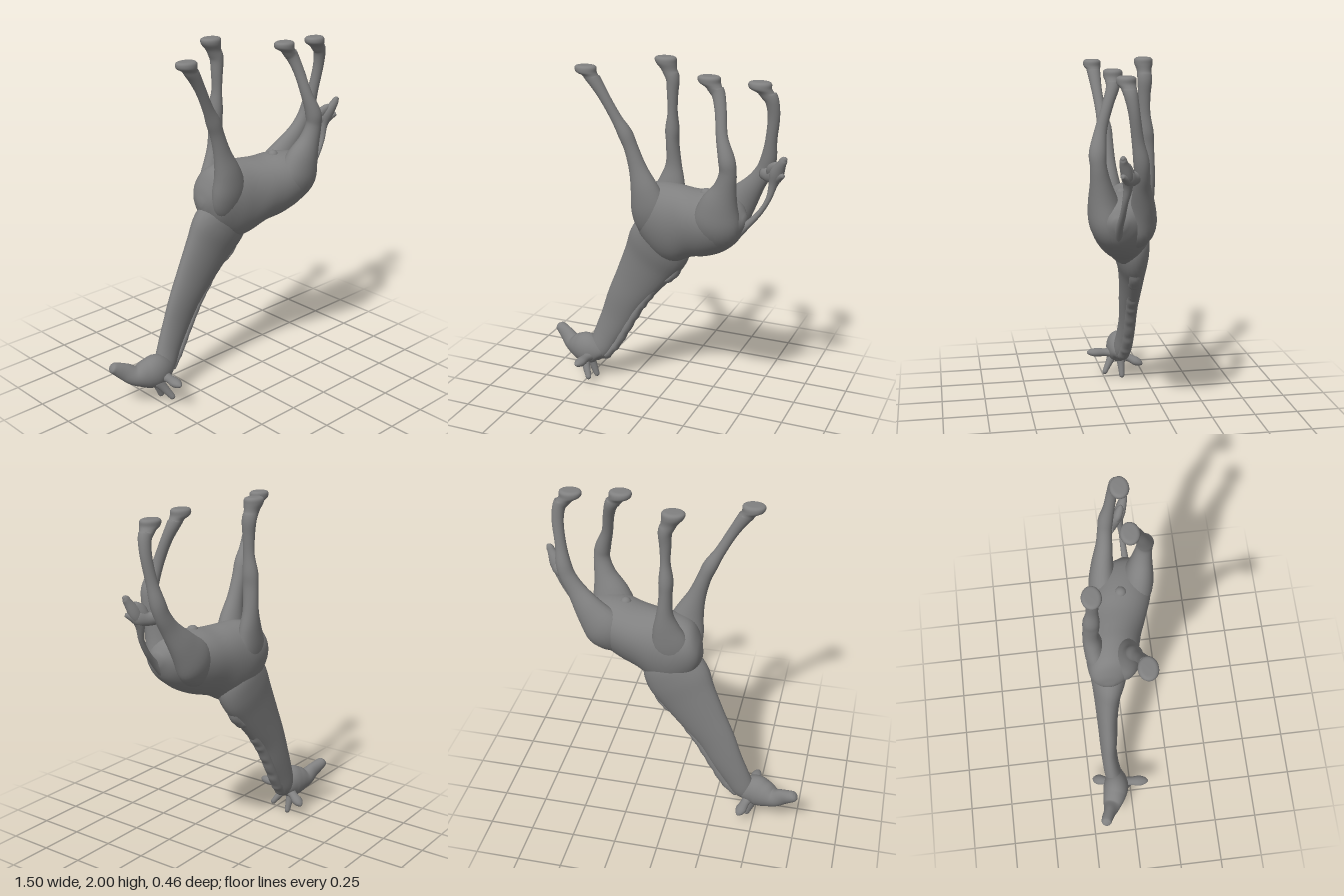
import * as THREE from 'three';

const material = new THREE.MeshStandardMaterial({ color: 0x808080 });
const Z = new THREE.Vector3(0, 0, 1);
const UP = new THREE.Vector3(0, 1, 0);

// Smooth closed loft through stations [x, y, z, in-plane radius, sideways radius].
// axis fixes the ring normal from station axisFrom on, ref sets the ring's sideways
// direction, egg narrows one side.
function loft(name, stations, { axis = null, axisFrom = 0, ref = Z, egg = 0, sides = 24, steps = 5 } = {}) {
  const path = new THREE.CatmullRomCurve3(stations.map(s => new THREE.Vector3(s[0], s[1], s[2])), false, 'catmullrom', 0.5);
  const radii = new THREE.CatmullRomCurve3(stations.map(s => new THREE.Vector3(s[3], s[4], 0)), false, 'catmullrom', 0.5);
  const rows = (stations.length - 1) * steps;
  const positions = [], index = [];
  for (let i = 0; i <= rows; i++) {
    const c = path.getPoint(i / rows), r = radii.getPoint(i / rows);
    const t = path.getTangent(i / rows);
    if (axis) t.lerp(axis, THREE.MathUtils.smoothstep(i / steps, axisFrom - 1, axisFrom)).normalize();
    const u = t.clone().cross(ref).normalize();
    const b = t.clone().cross(u).normalize();
    for (let j = 0; j < sides; j++) {
      const a = (j / sides) * Math.PI * 2;
      const p = c.clone()
        .addScaledVector(u, Math.cos(a) * Math.max(r.x, 0.004))
        .addScaledVector(b, Math.sin(a) * Math.max(r.y, 0.004) * (1 - egg * Math.cos(a)));
      positions.push(p.x, p.y, p.z);
    }
  }
  for (let i = 0; i < rows; i++) {
    for (let j = 0; j < sides; j++) {
      const k = (j + 1) % sides, a = i * sides, b = a + sides;
      index.push(a + j, a + k, b + j, a + k, b + k, b + j);
    }
  }
  // End caps
  const first = path.getPoint(0), last = path.getPoint(1), n = positions.length / 3;
  positions.push(first.x, first.y, first.z, last.x, last.y, last.z);
  for (let j = 0; j < sides; j++) {
    const k = (j + 1) % sides, e = rows * sides;
    index.push(n, k, j, n + 1, e + j, e + k);
  }
  const geometry = new THREE.BufferGeometry();
  geometry.setAttribute('position', new THREE.Float32BufferAttribute(positions, 3));
  geometry.setIndex(index);
  geometry.computeVertexNormals();
  const mesh = new THREE.Mesh(geometry, material);
  mesh.name = name;
  return mesh;
}

// Leg from the trunk to the ankle, flowing into a level hoof centred under [x, top, z]
function leg(name, stations, [x, top, z]) {
  const [ax, ay, az] = stations[stations.length - 1];
  const hoof = [
    [(ax + x) / 2, (ay + top) / 2 - 0.012, (az + z) / 2, 0.044, 0.039],
    [x + 0.004, top - 0.036, z, 0.058, 0.049],
    [x, top - 0.013, z, 0.061, 0.049],
    [x, top - 0.002, z, 0.05, 0.038],
    [x, top, z, 0.025, 0.02]
  ];
  return loft(name, [...stations, ...hoof], { axis: UP, axisFrom: stations.length });
}

// Straight horn or ear from a to b, with stations [fraction, radius, sideways radius]
function spike(name, a, b, profile, ref) {
  const stations = profile.map(([t, r, s]) => [...a.map((v, i) => v + (b[i] - v) * t), r, s]);
  return loft(name, stations, { ref, sides: 14 });
}

export function createModel() {
  const model = new THREE.Group();
  model.name = 'upturnedGiraffe';

  // Trunk, narrower along the spine
  model.add(loft('trunk', [
    [-0.17, 1.11, -0.08, 0.02, 0.02],
    [-0.15, 1.12, -0.08, 0.09, 0.075],
    [-0.10, 1.12, -0.065, 0.17, 0.12],
    [0.00, 1.10, -0.05, 0.222, 0.142],
    [0.10, 1.10, -0.03, 0.222, 0.15],
    [0.20, 1.125, 0.00, 0.193, 0.16],
    [0.30, 1.145, 0.03, 0.183, 0.165],
    [0.40, 1.165, 0.055, 0.155, 0.15],
    [0.48, 1.185, 0.07, 0.105, 0.11],
    [0.53, 1.20, 0.08, 0.03, 0.03]
  ], { axis: new THREE.Vector3(1, 0, 0), egg: 0.18, sides: 36 }));

  model.add(loft('neck', [
    [0.06, 1.10, -0.05, 0.10, 0.07],
    [0.02, 1.03, -0.065, 0.165, 0.105],
    [-0.035, 0.93, -0.08, 0.188, 0.10],
    [-0.10, 0.82, -0.095, 0.165, 0.078],
    [-0.18, 0.69, -0.105, 0.138, 0.063],
    [-0.26, 0.56, -0.11, 0.112, 0.055],
    [-0.325, 0.42, -0.115, 0.095, 0.048],
    [-0.385, 0.30, -0.11, 0.08, 0.048],
    [-0.43, 0.20, -0.10, 0.068, 0.05],
    [-0.46, 0.14, -0.095, 0.035, 0.03]
  ], { sides: 28 }));

  // Ragged mane ridge along the back of the neck
  const ridge = new THREE.CatmullRomCurve3([
    [0.11, 0.87, -0.075], [0.045, 0.755, -0.09], [-0.035, 0.70, -0.10], [-0.10, 0.61, -0.105],
    [-0.17, 0.51, -0.11], [-0.25, 0.37, -0.113], [-0.325, 0.24, -0.11], [-0.39, 0.165, -0.10]
  ].map(p => new THREE.Vector3(...p)));
  const tufts = [];
  for (let i = 0; i <= 32; i++) {
    const p = ridge.getPoint(i / 32);
    tufts.push([p.x, p.y, p.z, 0.026 + 0.003 * Math.sin(i * 2.3), 0.034]);
  }
  model.add(loft('mane', tufts, { sides: 12, steps: 3 }));

  // Head with horns and ears
  const head = new THREE.Group();
  head.name = 'head';
  head.add(loft('skull', [
    [-0.40, 0.155, -0.09, 0.02, 0.02],
    [-0.43, 0.175, -0.09, 0.065, 0.055],
    [-0.50, 0.19, -0.092, 0.098, 0.075],
    [-0.56, 0.188, -0.108, 0.086, 0.07],
    [-0.62, 0.19, -0.13, 0.058, 0.053],
    [-0.67, 0.222, -0.15, 0.049, 0.036],
    [-0.715, 0.25, -0.17, 0.037, 0.033],
    [-0.74, 0.262, -0.177, 0.028, 0.028],
    [-0.75, 0.268, -0.179, 0.012, 0.012]
  ]));
  const hornProfile = [[0, 0.036, 0.034], [0.35, 0.025, 0.024], [0.7, 0.02, 0.018], [0.92, 0.016, 0.015], [1, 0.006, 0.006]];
  head.add(spike('leftHorn', [-0.515, 0.14, -0.06], [-0.455, 0.035, 0.006], hornProfile, Z));
  head.add(spike('rightHorn', [-0.50, 0.14, -0.105], [-0.452, 0.004, -0.107], hornProfile, Z));
  const earProfile = [[0, 0.035, 0.03], [0.3, 0.026, 0.024], [0.65, 0.032, 0.026], [0.88, 0.022, 0.018], [1, 0.005, 0.005]];
  head.add(spike('leftEar', [-0.475, 0.165, -0.05], [-0.49, 0.168, 0.107], earProfile, UP));
  head.add(spike('rightEar', [-0.465, 0.145, -0.12], [-0.42, 0.095, -0.228], earProfile, UP));
  model.add(head);

  // Legs: shoulder or thigh, knee, shin, ankle, hoof
  model.add(leg('frontLeftLeg', [
    [0.00, 0.99, -0.03, 0.03, 0.03], [-0.03, 1.08, 0.0, 0.10, 0.06], [-0.045, 1.18, 0.02, 0.11, 0.072],
    [-0.07, 1.29, 0.035, 0.083, 0.062], [-0.11, 1.41, 0.038, 0.051, 0.045], [-0.147, 1.52, 0.04, 0.039, 0.04],
    [-0.18, 1.60, 0.045, 0.04, 0.041], [-0.225, 1.68, 0.055, 0.03, 0.03], [-0.285, 1.79, 0.068, 0.029, 0.029],
    [-0.34, 1.88, 0.075, 0.036, 0.036]
  ], [-0.392, 1.965, 0.08]));
  model.add(leg('frontRightLeg', [
    [0.01, 0.99, -0.09, 0.03, 0.03], [-0.005, 1.08, -0.115, 0.10, 0.055], [-0.005, 1.18, -0.135, 0.11, 0.062],
    [0.015, 1.30, -0.152, 0.075, 0.052], [0.022, 1.40, -0.16, 0.045, 0.043], [0.017, 1.52, -0.155, 0.036, 0.044],
    [0.016, 1.60, -0.152, 0.039, 0.044], [0.02, 1.70, -0.145, 0.027, 0.032], [0.02, 1.80, -0.143, 0.031, 0.034],
    [0.02, 1.88, -0.145, 0.037, 0.04]
  ], [-0.022, 2.0, -0.145]));
  model.add(leg('hindLeftLeg', [
    [0.35, 1.01, 0.06, 0.03, 0.03], [0.365, 1.10, 0.095, 0.11, 0.075], [0.38, 1.19, 0.125, 0.132, 0.092],
    [0.40, 1.29, 0.145, 0.108, 0.08], [0.437, 1.40, 0.165, 0.063, 0.055], [0.455, 1.49, 0.178, 0.046, 0.043],
    [0.447, 1.56, 0.18, 0.044, 0.045], [0.412, 1.67, 0.158, 0.031, 0.032], [0.39, 1.79, 0.12, 0.031, 0.029],
    [0.365, 1.875, 0.09, 0.036, 0.034]
  ], [0.31, 1.965, 0.08]));
  model.add(leg('hindRightLeg', [
    [0.30, 1.04, -0.02, 0.03, 0.03], [0.34, 1.11, -0.04, 0.10, 0.065], [0.39, 1.19, -0.055, 0.12, 0.08],
    [0.465, 1.285, -0.05, 0.088, 0.063], [0.54, 1.385, -0.03, 0.056, 0.046], [0.59, 1.465, -0.02, 0.046, 0.04],
    [0.615, 1.54, -0.01, 0.042, 0.04], [0.63, 1.64, 0.01, 0.031, 0.031], [0.645, 1.77, 0.03, 0.032, 0.029],
    [0.635, 1.86, 0.045, 0.036, 0.034]
  ], [0.575, 1.952, 0.058]));

  // Tail with a split tuft resting against the hock
  const tail = new THREE.Group();
  tail.name = 'tail';
  const strands = {
    tailStem: [
      [0.47, 1.12, 0.08, 0.03, 0.03], [0.535, 1.185, 0.085, 0.02, 0.02], [0.60, 1.26, 0.08, 0.015, 0.016],
      [0.645, 1.34, 0.075, 0.015, 0.016], [0.665, 1.42, 0.065, 0.024, 0.024], [0.685, 1.485, 0.075, 0.038, 0.03],
      [0.715, 1.545, 0.095, 0.024, 0.022], [0.728, 1.568, 0.10, 0.02, 0.016], [0.74, 1.578, 0.105, 0.008, 0.008]
    ],
    hockStrand: [
      [0.59, 1.46, 0.0, 0.035, 0.028], [0.635, 1.455, 0.035, 0.036, 0.028], [0.675, 1.465, 0.065, 0.042, 0.03],
      [0.705, 1.475, 0.085, 0.024, 0.02], [0.728, 1.485, 0.105, 0.01, 0.01]
    ],
    sideStrand: [
      [0.64, 1.46, 0.04, 0.02, 0.02], [0.655, 1.50, 0.06, 0.03, 0.024], [0.675, 1.53, 0.075, 0.018, 0.018],
      [0.685, 1.545, 0.08, 0.006, 0.006]
    ]
  };
  for (const [name, stations] of Object.entries(strands)) tail.add(loft(name, stations, { sides: 16 }));
  model.add(tail);

  // Small bump under the belly
  const bump = new THREE.Mesh(new THREE.SphereGeometry(0.032, 16, 12), material);
  bump.name = 'bellyBump';
  bump.position.set(0.285, 1.312, 0.03);
  model.add(bump);

  return model;
}
